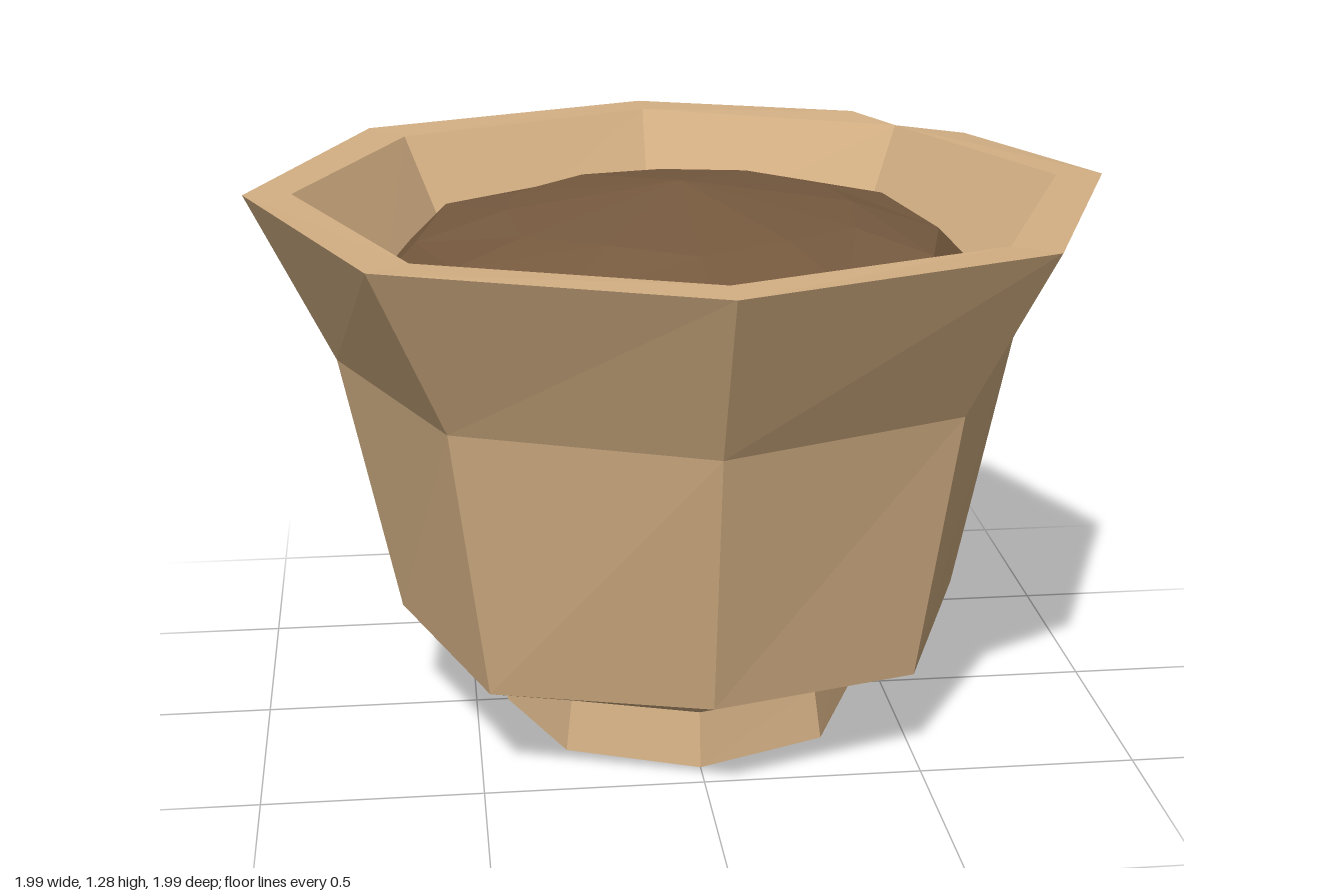
import * as THREE from 'three';

const clay = new THREE.MeshStandardMaterial({ color: 0xd4b084, flatShading: true });
clay.name = 'tan clay';
const earth = new THREE.MeshStandardMaterial({ color: 0x765a3f, flatShading: true });
earth.name = 'brown soil';

// Ring of points, starting at +z and turning towards +x; odd corners may differ slightly
function ring(n, r, y, oddR = r, oddY = y) {
  return Array.from({ length: n }, (_, i) => {
    const a = (i / n) * Math.PI * 2;
    const rr = i % 2 ? oddR : r;
    return [Math.sin(a) * rr, i % 2 ? oddY : y, Math.cos(a) * rr];
  });
}

// Collects convex polygons as triangle fans
function builder() {
  const pos = [];
  const face = (...p) => {
    for (let i = 1; i < p.length - 1; i++) pos.push(...p[0], ...p[i], ...p[i + 1]);
  };
  const band = (lo, hi, skip = []) => {
    lo.forEach((p, i) => {
      const j = (i + 1) % lo.length;
      if (!skip.includes(i)) face(p, lo[j], hi[j], hi[i]);
    });
  };
  const mesh = (name, material) => {
    const g = new THREE.BufferGeometry();
    g.setAttribute('position', new THREE.Float32BufferAttribute(pos, 3));
    g.computeVertexNormals();
    const m = new THREE.Mesh(g, material);
    m.name = name;
    return m;
  };
  return { face, band, mesh };
}

function makePot() {
  const { face, band, mesh } = builder();
  const foot = ring(8, 0.425, 0);
  const neck = ring(8, 0.405, 0.13, 0.405, 0.12);
  const belly = ring(8, 0.67, 0.26, 0.68, 0.235);
  const waist = ring(8, 0.8, 0.88, 0.79, 0.875);
  const rim = ring(8, 0.995, 1.275, 1.01, 1.275);
  const lip = ring(8, 0.885, 1.275, 0.885, 1.27);
  const inner = ring(8, 0.7, 0.96, 0.71, 0.96);

  // Underside, foot, bevel and body
  face(...[...foot].reverse());
  band(foot, neck);
  band(neck, belly);
  band(belly, waist);

  // Flared collar, flat rim and inner wall, with one back corner left open
  band(waist, rim, [2, 3]);
  band(rim, lip, [2, 3]);
  band(lip, inner);

  // Chipped corner
  const deep = [0.643, 1.11, -0.635];
  const sideEnd = [0.79, 1.262, -0.55];
  const backEnd = [0.54, 1.28, -0.77];
  face(waist[2], waist[3], deep, sideEnd, rim[2]);
  face(waist[4], rim[4], backEnd, deep, waist[3]);
  face(rim[2], sideEnd, lip[3], lip[2]);
  face(backEnd, rim[4], lip[4], lip[3]);
  face(sideEnd, deep, lip[3]);
  face(deep, backEnd, lip[3]);
  return mesh('pot', clay);
}

function makeSoil() {
  const { face, band, mesh } = builder();
  // Low mound whose edge sinks into the inner wall
  const edge = ring(12, 0.77, 1.02, 0.75, 1.01);
  const shoulder = ring(12, 0.615, 1.17, 0.61, 1.155);
  const crown = ring(12, 0.43, 1.215, 0.4, 1.225);
  band(edge, shoulder);
  band(shoulder, crown);
  crown.forEach((p, i) => face(p, crown[(i + 1) % 12], [0, 1.285, 0]));
  return mesh('soil', earth);
}

export function createModel() {
  const group = new THREE.Group();
  group.name = 'chippedPlantPot';
  group.add(makePot(), makeSoil());
  return group;
}
